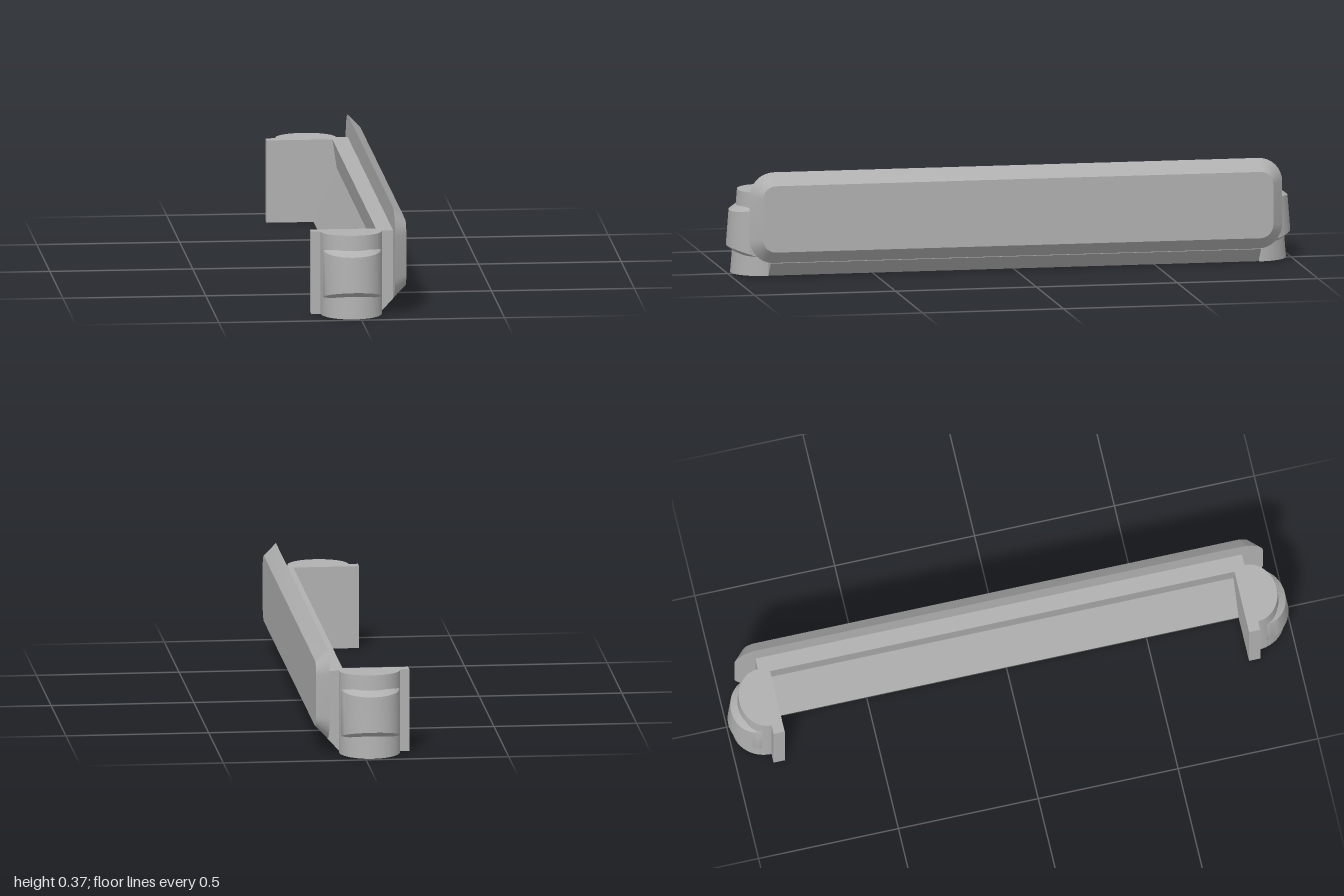
import * as THREE from 'three';
import { toCreasedNormals } from 'three/addons/utils/BufferGeometryUtils.js';

const PLATE_Z = 0.87; // outer face of the end plates
const LUG_X = -0.025; // centre of the rounded lugs

// Skin a list of rings (equal point counts); creases keep the edges sharp
function loft(rings) {
  const pos = [];
  for (let i = 0; i < rings.length - 1; i++) {
    for (let j = 0; j < rings[i].length - 1; j++) {
      const a = rings[i][j], b = rings[i][j + 1];
      const c = rings[i + 1][j + 1], d = rings[i + 1][j];
      for (const p of [a, c, b, a, d, c]) pos.push(...p);
    }
  }
  const g = new THREE.BufferGeometry();
  g.setAttribute('position', new THREE.Float32BufferAttribute(pos, 3));
  return toCreasedNormals(g, 0.6);
}

// Half-ellipse ring bulging towards +z; rise lifts its middle
function halfRing(y, halfWidth, depth, base = 0, rise = 0) {
  return Array.from({ length: 25 }, (_, i) => {
    const t = (i / 24) * Math.PI, s = Math.sin(t);
    return [halfWidth * Math.cos(t), y + rise * s, PLATE_Z + base + depth * s];
  });
}

// Closed rounded rectangle in the zy plane at a given x
function roundedRing(x, halfZ, halfY, r, cy) {
  const pts = [];
  const corners = [[1, 1], [-1, 1], [-1, -1], [1, -1]];
  corners.forEach(([sz, sy], k) => {
    for (let i = 0; i <= 8; i++) {
      const t = (k + i / 8) * Math.PI / 2;
      pts.push([x, cy + sy * (halfY - r) + r * Math.sin(t), sz * (halfZ - r) + r * Math.cos(t)]);
    }
  });
  pts.push(pts[0]);
  return pts;
}

// Extrude an xy outline along z
function prism(points, z0, length) {
  const shape = new THREE.Shape(points.map(([x, y]) => new THREE.Vector2(x, y)));
  return new THREE.ExtrudeGeometry(shape, { depth: length, bevelEnabled: false }).translate(0, 0, z0);
}

export function createModel() {
  const model = new THREE.Group();
  const grey = new THREE.MeshStandardMaterial({ color: 0xb0b0b0 });
  grey.name = 'grey';
  const add = (name, geometry, parent = model) => {
    const mesh = new THREE.Mesh(geometry, grey);
    mesh.name = name;
    parent.add(mesh);
  };

  // Bevelled face panel
  const cy = 0.212;
  const back = roundedRing(0.122, 0.945, 0.16, 0.085, cy);
  const front = roundedRing(0.165, 0.905, 0.117, 0.045, cy);
  add('facePanel', loft([
    back.map(() => [0.122, cy, 0]), back, front, front.map(() => [0.165, cy, 0]),
  ]));

  // Long beam behind the panel, with a sloping inner face
  add('beam', prism([
    [0, 0], [0.075, 0], [0.122, 0.05], [0.122, 0.292], [0.065, 0.292], [0.08, 0.19],
  ], -0.835, 1.67));

  // End plates
  for (const [name, z0] of [['leftEndPlate', 0.83], ['rightEndPlate', -PLATE_Z]]) {
    add(name, prism([
      [-0.165, 0], [0.075, 0], [0.122, 0.05], [0.122, 0.292], [-0.165, 0.292],
    ], z0, 0.04));
  }

  // Tapered half-round lugs, each with a raised band
  const lug = loft([
    halfRing(0, 0, 0), halfRing(0, 0.107, 0.115),
    halfRing(0.292, 0.107, 0.09), halfRing(0.292, 0, 0),
  ]);
  const band = loft([
    halfRing(0.066, 0.102, 0.07, 0.03, 0.006),
    halfRing(0.066, 0.102, 0.097, 0.033, 0.03),
    halfRing(0.233, 0.102, 0.087, 0.033, -0.013),
    halfRing(0.233, 0.102, 0.06, 0.03, 0.009),
  ]);
  for (const [name, turn] of [['frontLug', 0], ['backLug', Math.PI]]) {
    const end = new THREE.Group();
    end.name = name;
    end.position.x = LUG_X;
    end.rotation.y = turn;
    add('lugBody', lug, end);
    add('lugBand', band, end);
    model.add(end);
  }
  return model;
}
